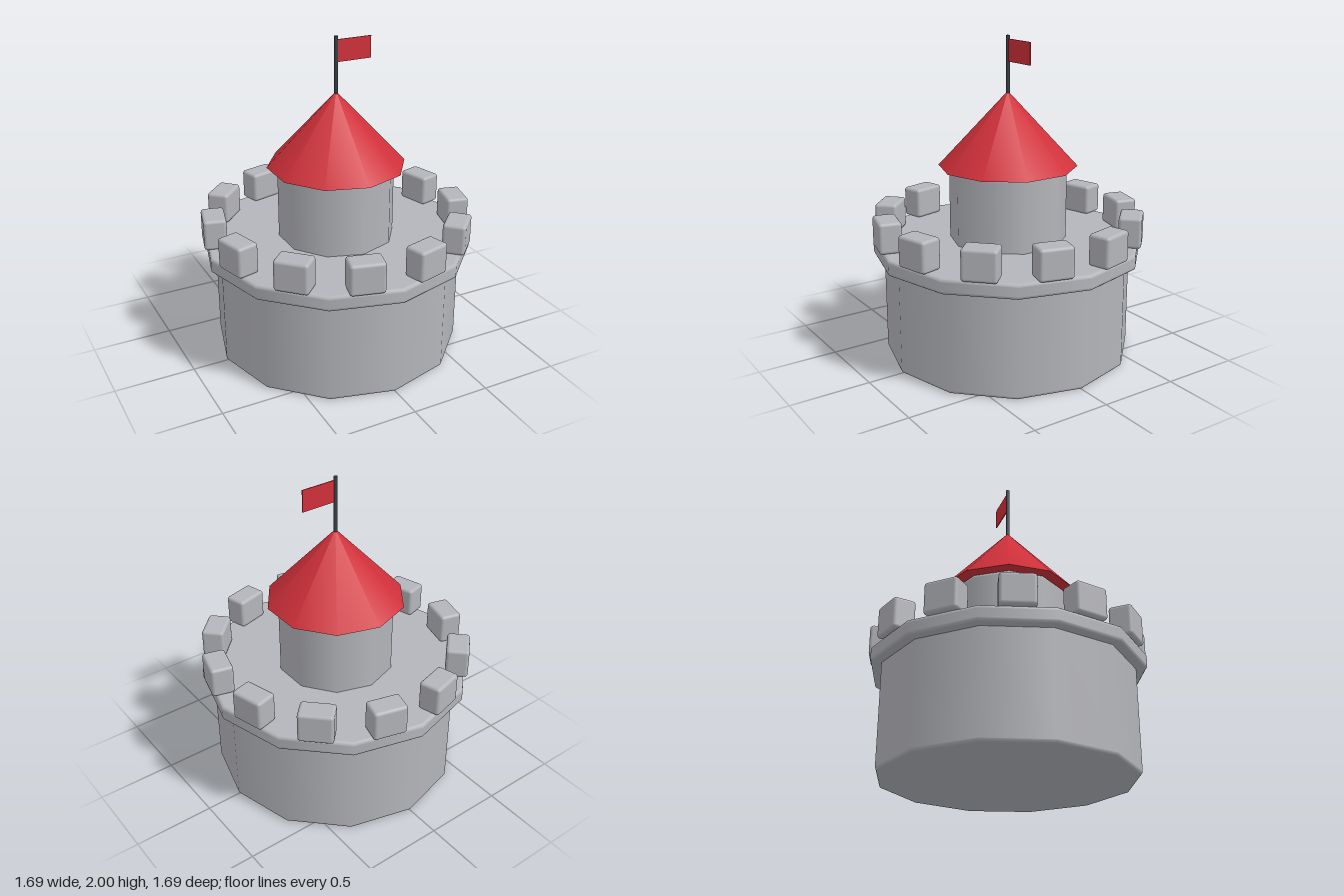
import * as THREE from 'three';
import { RoundedBoxGeometry } from 'three/addons/geometries/RoundedBoxGeometry.js';

const stone = new THREE.MeshStandardMaterial({ name: 'greyStone', color: 0xb4b5ba });
const red = new THREE.MeshStandardMaterial({ name: 'redRoof', color: 0xd0303a });
const iron = new THREE.MeshStandardMaterial({ name: 'darkIron', color: 0x3a4046 });

function add(parent, name, geometry, material, x = 0, y = 0, z = 0) {
  const mesh = new THREE.Mesh(geometry, material);
  mesh.name = name;
  mesh.position.set(x, y, z);
  parent.add(mesh);
  return mesh;
}

// Closed prism with rounded rims; the extra points at e keep caps and walls flat.
function roundedDrum(radius, y0, y1, bevel, sides) {
  const e = 0.002;
  const points = [[0, y0], [radius - bevel - e, y0]];
  const steps = 3;
  for (let i = 0; i <= steps; i++) {
    const a = (i / steps) * Math.PI / 2;
    points.push([radius - bevel + bevel * Math.sin(a), y0 + bevel - bevel * Math.cos(a)]);
  }
  points.push([radius, y0 + bevel + e], [radius, y1 - bevel - e]);
  for (let i = 0; i <= steps; i++) {
    const a = (i / steps) * Math.PI / 2;
    points.push([radius - bevel + bevel * Math.cos(a), y1 - bevel + bevel * Math.sin(a)]);
  }
  points.push([radius - bevel - e, y1], [0, y1]);
  return new THREE.LatheGeometry(points.map(([x, y]) => new THREE.Vector2(x, y)), sides);
}

export function createModel() {
  const model = new THREE.Group();
  model.name = 'castleTower';

  // Main drum, overhanging ledge and inner turret
  add(model, 'towerBody', roundedDrum(0.78, 0, 0.66, 0.018, 12), stone);
  add(model, 'ledge', roundedDrum(0.847, 0.643, 0.738, 0.018, 12), stone);
  add(model, 'turret', roundedDrum(0.366, 0.7, 1.2, 0.018, 10), stone);

  // Ring of battlement blocks
  const battlements = new THREE.Group();
  battlements.name = 'battlements';
  model.add(battlements);
  const block = new RoundedBoxGeometry(0.212, 0.194, 0.142, 3, 0.02);
  for (let i = 0; i < 12; i++) {
    const a = (i + 0.5) * Math.PI / 6;
    const r = 0.772;
    add(battlements, 'merlon', block, stone, r * Math.sin(a), 0.833, r * Math.cos(a)).rotation.y = a;
  }

  // Roof, flagpole and flag
  add(model, 'roof', new THREE.ConeGeometry(0.432, 0.465, 10), red, 0, 1.4325, 0);
  add(model, 'flagpole', new THREE.CylinderGeometry(0.0125, 0.0125, 0.4, 8), iron, 0, 1.8, 0);
  add(model, 'flag', new THREE.BoxGeometry(0.225, 0.136, 0.006), red, 0.121, 1.911, 0);

  return model;
}
